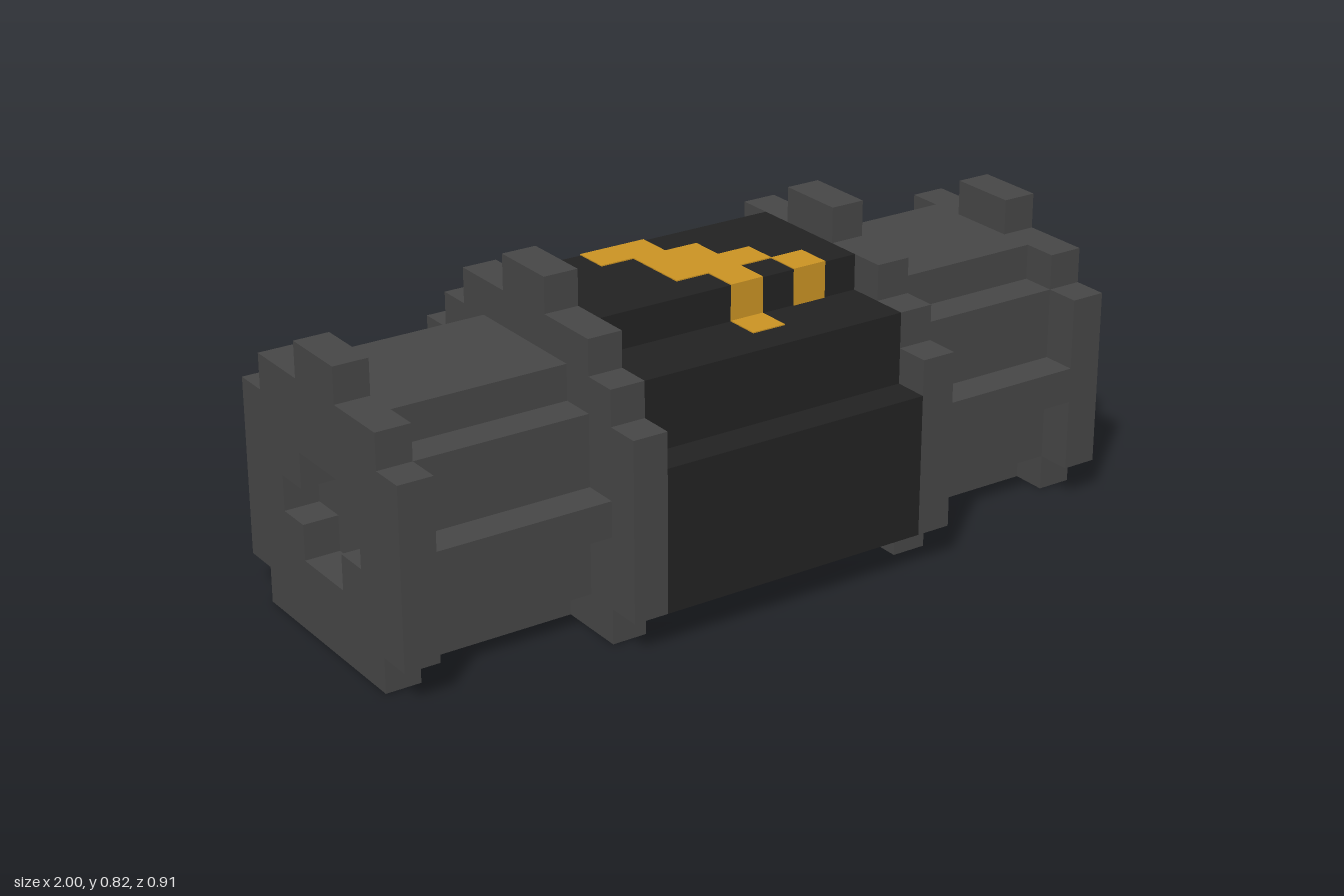
import * as THREE from 'three';

const U = 1 / 11; // one block

const shellGrey = new THREE.MeshStandardMaterial({ color: 0x464646 });
shellGrey.name = 'shell grey';
const barrelBlack = new THREE.MeshStandardMaterial({ color: 0x222222 });
barrelBlack.name = 'barrel black';
const markGold = new THREE.MeshStandardMaterial({ color: 0xc99223 });
markGold.name = 'mark gold';

// Stepped symmetric outline from rows of [half width, top height], bottom to top
function steppedShape(rows) {
  const right = [];
  let y = 0;
  for (const [w, top] of rows) {
    right.push([w, y], [w, top]);
    y = top;
  }
  const left = right.map(([w, h]) => [-w, h]).reverse();
  return new THREE.Shape([...right, ...left].map(([a, b]) => new THREE.Vector2(a * U, b * U)));
}

// Extrudes an outline along x from x0 to x1
function prism(name, shape, x0, x1, material) {
  const geo = new THREE.ExtrudeGeometry(shape, { depth: (x1 - x0) * U, bevelEnabled: false });
  geo.rotateY(Math.PI / 2);
  geo.translate(x0 * U, 0, 0);
  const mesh = new THREE.Mesh(geo, material);
  mesh.name = name;
  return mesh;
}

// Box between two corners, in blocks
function block(name, [x0, y0, z0], [x1, y1, z1], material) {
  const geo = new THREE.BoxGeometry((x1 - x0) * U, (y1 - y0) * U, (z1 - z0) * U);
  geo.translate((x0 + x1) * U / 2, (y0 + y1) * U / 2, (z0 + z1) * U / 2);
  const mesh = new THREE.Mesh(geo, material);
  mesh.name = name;
  return mesh;
}

// Cross-shaped socket cut into each end cap
function socketHole() {
  const pts = [
    [-1, 2], [1, 2], [1, 3], [2, 3], [2, 4], [1, 4],
    [1, 5], [-1, 5], [-1, 4], [-2, 4], [-2, 3], [-1, 3],
  ];
  return new THREE.Path(pts.map(([a, b]) => new THREE.Vector2(a * U, b * U)));
}

export function createModel() {
  const model = new THREE.Group();
  model.name = 'canister';

  // Dark central barrel
  const barrel = steppedShape([[3, 1], [5, 5], [4, 7], [2, 8]]);
  model.add(prism('barrel', barrel, -4, 4, barrelBlack));

  // Collar, neck and socketed cap at each end
  const collar = steppedShape([[4, 1], [5, 6], [4, 7], [3, 8], [1, 9]]);
  const neck = steppedShape([[2, 1], [3, 3], [4, 4], [3, 6], [2, 7]]);
  const cap = steppedShape([[3, 1], [4, 6], [3, 7], [1, 8]]);
  cap.holes.push(socketHole());
  for (const [side, s] of [['left', 1], ['right', -1]]) {
    const end = new THREE.Group();
    end.name = side + 'End';
    const span = (a, b) => (s > 0 ? [a, b] : [-b, -a]);
    end.add(prism('collar', collar, ...span(4, 5), shellGrey));
    end.add(prism('neck', neck, ...span(5, 10), shellGrey));
    end.add(prism('cap', cap, ...span(10, 11), shellGrey));
    model.add(end);
  }

  // Gold zigzag mark, painted over the steps of the barrel
  const mark = new THREE.Group();
  mark.name = 'zigzagMark';
  const t = 0.03;
  const flats = [ // x0, x1, z0, z1, height
    [-1, 0, -4, -2, 7], [-3, -2, -3, -2, 7], [-2, 0, -2, -1, 8], [-1, 1, -1, 0, 8],
    [-1, 2, 0, 1, 8], [0, 1, 1, 2, 8], [2, 3, 1, 2, 8], [0, 1, 2, 3, 7],
  ];
  for (const [x0, x1, z0, z1, y] of flats) {
    mark.add(block('markTop', [x0, y, z0], [x1, y + t, z1], markGold));
  }
  const risers = [ // x0, x1, bottom height, z, facing
    [0, 1, 7, 2, 1], [2, 3, 7, 2, 1], [-2, 0, 7, -2, -1], [-1, 0, 6, -4, -1],
  ];
  for (const [x0, x1, y, z, dir] of risers) {
    const z0 = dir > 0 ? z : z - t;
    mark.add(block('markRiser', [x0, y, z0], [x1, y + 1 + t, z0 + t], markGold));
  }
  model.add(mark);

  return model;
}
